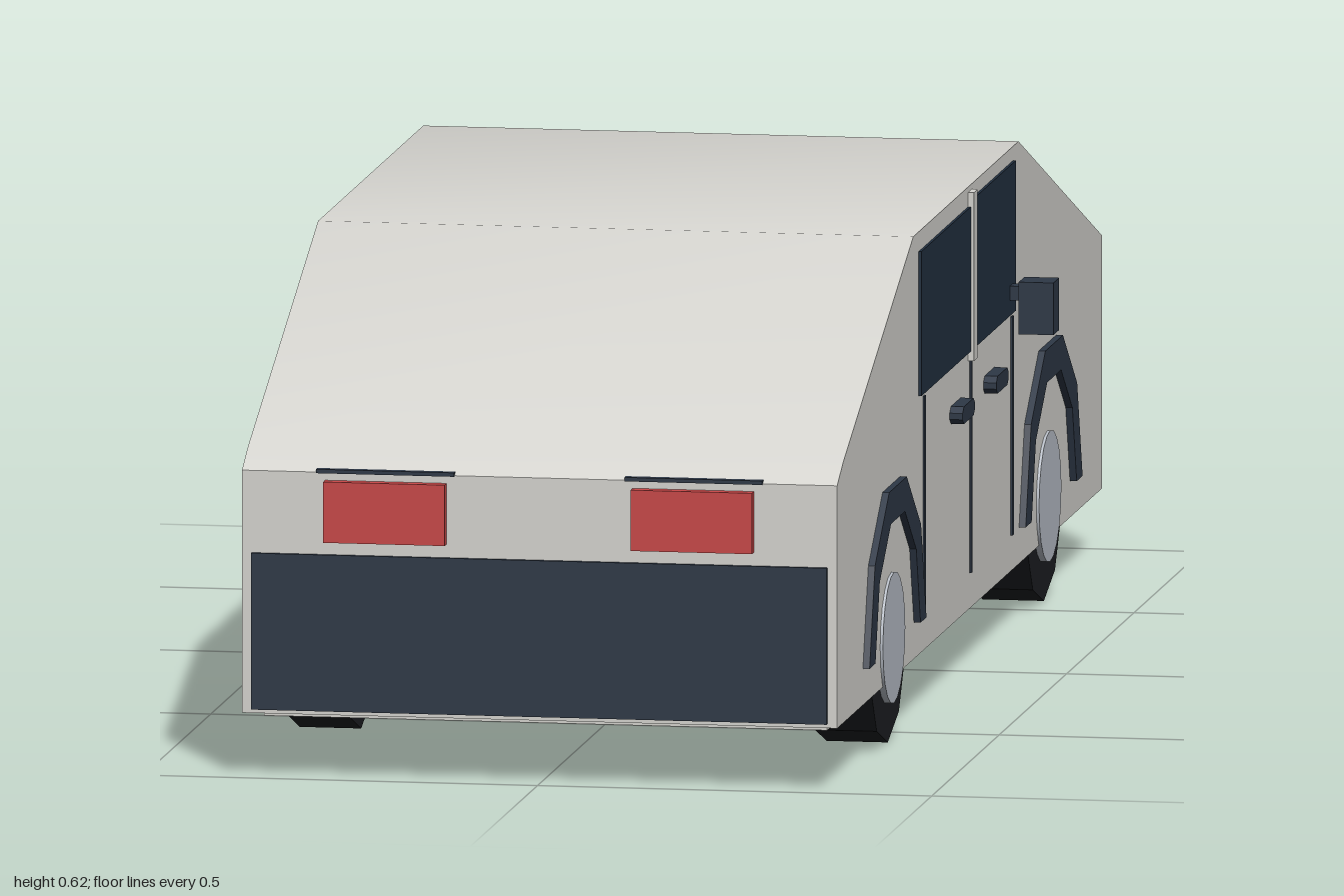
import * as THREE from 'three';
import { toCreasedNormals } from 'three/addons/utils/BufferGeometryUtils.js';

const mat = (color) => new THREE.MeshStandardMaterial({ color });

export function createModel() {
  const car = new THREE.Group();
  car.name = 'car';
  const paint = mat(0xd6d5d0), trim = mat(0x2e3846), glass = mat(0x223040);
  const rubber = mat(0x1c1e21), hub = mat(0xb9bfc8), red = mat(0xc94848), lamp = mat(0xbcc4d0);

  function add(name, geometry, material) {
    const mesh = new THREE.Mesh(geometry, material);
    mesh.name = name;
    car.add(mesh);
    return mesh;
  }
  // Box given by its limits on each axis
  function box(name, material, [x0, x1], [y0, y1], [z0, z1]) {
    const mesh = add(name, new THREE.BoxGeometry(x1 - x0, y1 - y0, z1 - z0), material);
    mesh.position.set((x0 + x1) / 2, (y0 + y1) / 2, (z0 + z1) / 2);
    return mesh;
  }
  // The same box on both sides of the car
  function pair(name, material, [x0, x1], y, z) {
    box(name + 'Left', material, [x0, x1], y, z);
    box(name + 'Right', material, [-x1, -x0], y, z);
  }
  // Extrude a (z, y) outline across x, centred on x = 0
  function sideExtrude(points, width) {
    const shape = new THREE.Shape(points.map(([z, y]) => new THREE.Vector2(z, y)));
    return new THREE.ExtrudeGeometry(shape, { depth: width, bevelEnabled: false })
      .translate(0, 0, -width / 2).rotateY(-Math.PI / 2);
  }

  // Body shell and floor
  const profile = [[-0.98, 0.08], [0.985, 0.08], [0.985, 0.387], [0.94, 0.41],
    [0.42, 0.615], [-0.36, 0.615], [-0.98, 0.4]];
  add('body', toCreasedNormals(sideExtrude(profile, 0.755), 0.5), paint);
  box('floor', paint, [-0.357, 0.357], [0.07, 0.082], [-0.93, 0.94]);

  // Sloping window, lifting slightly off the body toward its lower edge
  add('slopedWindow', sideExtrude([[-0.985, 0.397], [-0.575, 0.537], [-0.575, 0.543], [-0.985, 0.41]], 0.67), glass);

  // Bumpers and end lights
  box('redLightBumper', trim, [-0.365, 0.365], [0.085, 0.283], [0.975, 0.99]);
  box('headlightBumper', trim, [-0.365, 0.365], [0.085, 0.245], [-0.986, -0.97]);
  pair('redLight', red, [0.118, 0.272], [0.3, 0.377], [0.975, 1]);
  pair('redLightStrip', trim, [0.108, 0.283], [0.386, 0.391], [0.97, 0.988]);
  pair('headlight', lamp, [0.108, 0.292], [0.283, 0.363], [-1, -0.97]);
  for (const y of [0.273, 0.298, 0.323]) {
    box('grilleBar', trim, [-0.12, 0.12], [y - 0.005, y + 0.005], [-0.988, -0.97]);
  }

  // Side windows, pillars, door seams and mirrors
  pair('longSideWindow', glass, [0.37, 0.381], [0.407, 0.59], [0.012, 0.38]);
  pair('shortSideWindow', glass, [0.37, 0.381], [0.407, 0.597], [-0.32, -0.012]);
  pair('pillar', paint, [0.37, 0.385], [0.395, 0.608], [-0.014, 0.014]);
  for (const z of [0.345, 0, -0.307]) {
    pair('doorSeam', trim, [0.37, 0.38], [0.125, 0.402], [z - 0.005, z + 0.005]);
  }
  pair('mirror', trim, [0.394, 0.438], [0.386, 0.452], [-0.308, -0.265]);
  pair('mirrorArm', trim, [0.37, 0.4], [0.427, 0.445], [-0.298, -0.275]);

  // Door handles with clipped corners
  for (const z of [0.105, -0.145]) {
    const outline = [[-0.036, -0.011], [0.036, -0.011], [0.046, -0.004], [0.046, 0.004],
      [0.036, 0.011], [-0.036, 0.011], [-0.046, 0.004], [-0.046, -0.004]];
    for (const s of [-1, 1]) {
      add('doorHandle', sideExtrude(outline, 0.022), trim).position.set(s * 0.383, 0.346, z);
    }
  }

  // Five-sided wheel arch outline: outer curve out, inner curve back
  const arch = [];
  for (let i = 0; i <= 5; i++) arch.push([0.211 * Math.cos(i * Math.PI / 5), 0.211 * Math.sin(i * Math.PI / 5)]);
  for (let i = 5; i >= 0; i--) arch.push([0.167 * Math.cos(i * Math.PI / 5), 0.167 * Math.sin(i * Math.PI / 5)]);

  // Wheels, hub caps and arches
  const tyre = toCreasedNormals(
    new THREE.CylinderGeometry(0.14, 0.14, 0.078, 10).rotateZ(Math.PI / 2).rotateX(Math.PI / 10), 0.3);
  const cap = new THREE.CylinderGeometry(0.083, 0.083, 0.02, 20).rotateZ(Math.PI / 2);
  for (const z of [0.583, -0.575]) {
    for (const s of [-1, 1]) {
      const wheel = add('wheel', tyre, rubber);
      wheel.position.set(s * 0.334, 0.133, z);
      // Keep a flat side on the ground
      wheel.geometry.computeBoundingBox();
      wheel.position.y = -wheel.geometry.boundingBox.min.y;
      add('hubCap', cap, hub).position.set(s * 0.371, 0.133, z);
      add('wheelArch', sideExtrude(arch, 0.02), trim).position.set(s * 0.376, 0.126, z);
    }
  }
  return car;
}
